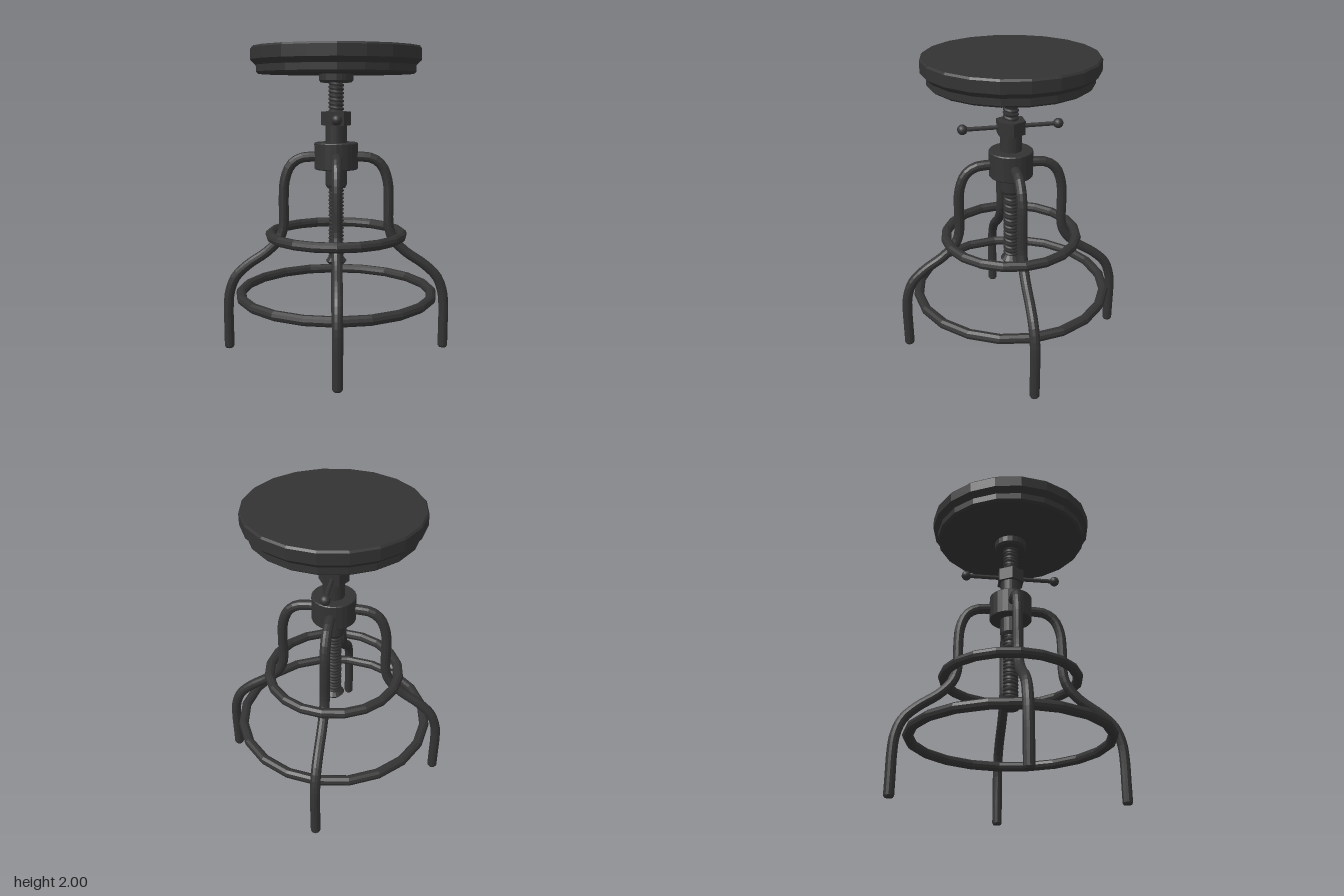
import * as THREE from 'three';

const metal = new THREE.MeshStandardMaterial({ color: 0x333333, flatShading: true });
const smoothMetal = new THREE.MeshStandardMaterial({ color: 0x333333 });

function add(parent, name, geometry, material = metal) {
  const mesh = new THREE.Mesh(geometry, material);
  mesh.name = name;
  parent.add(mesh);
  return mesh;
}

// Turned part from [radius, height] pairs listed bottom to top
function turned(profile, sides = 20) {
  return new THREE.LatheGeometry(profile.map(([r, y]) => new THREE.Vector2(r, y)), sides);
}

// Thread running around the central spindle
class Helix extends THREE.Curve {
  constructor(radius, bottom, top, turns) {
    super();
    Object.assign(this, { radius, bottom, top, turns });
  }
  getPoint(t, target = new THREE.Vector3()) {
    const a = t * this.turns * Math.PI * 2;
    return target.set(
      Math.cos(a) * this.radius,
      this.bottom + t * (this.top - this.bottom),
      Math.sin(a) * this.radius
    );
  }
}

export function createModel() {
  const stool = new THREE.Group();
  stool.name = 'stool';

  // Seat: wide disc over a slightly narrower base
  add(stool, 'seat', turned([
    [0, 1.83], [0.5, 1.83], [0.515, 1.843], [0.515, 1.885],
    [0.55, 1.918], [0.55, 1.988], [0.54, 2], [0, 2],
  ]));
  add(stool, 'seatFlange', turned([[0, 1.775], [0.098, 1.775], [0.11, 1.79], [0.11, 1.835], [0, 1.835]]));

  // Threaded spindle with an end stop
  const spindle = new THREE.Group();
  spindle.name = 'spindle';
  stool.add(spindle);
  add(spindle, 'spindleCore', turned([[0, 0.6], [0.042, 0.6], [0.042, 1.79], [0, 1.79]], 16), smoothMetal);
  add(spindle, 'spindleThread',
    new THREE.TubeGeometry(new Helix(0.041, 0.62, 1.785, 46), 46 * 14, 0.011, 5), smoothMetal);
  add(spindle, 'endStop', turned([[0, 0.583], [0.052, 0.583], [0.07, 0.605], [0.042, 0.638], [0, 0.638]], 16));

  // Hub, sleeve and locking nut
  add(stool, 'sleeve', turned([
    [0, 1.095], [0.06, 1.095], [0.07, 1.115], [0.07, 1.51], [0, 1.51],
  ], 24), metal);
  add(stool, 'hub', turned([
    [0, 1.217], [0.138, 1.217], [0.143, 1.223], [0.143, 1.385], [0.138, 1.391], [0, 1.391],
  ], 24));
  const nut = add(stool, 'lockingNut', new THREE.CylinderGeometry(0.097, 0.097, 0.088, 6));
  nut.position.y = 1.547;
  nut.rotation.y = Math.PI / 2;

  // Cross handle with a ball at each end
  const rod = add(stool, 'handleRod', new THREE.CylinderGeometry(0.014, 0.014, 0.6, 10), smoothMetal);
  rod.position.y = 1.547;
  rod.rotation.x = Math.PI / 2;
  for (const side of [-1, 1]) {
    const ball = add(stool, 'handleBall', new THREE.SphereGeometry(0.033, 14, 10), smoothMetal);
    ball.position.set(0, 1.547, side * 0.307);
  }

  // Four bent tube legs
  const legPath = new THREE.CatmullRomCurve3([
    [0.1, 1.298], [0.17, 1.298], [0.24, 1.287], [0.3, 1.24], [0.338, 1.14], [0.346, 1.02],
    [0.35, 0.83], [0.38, 0.75], [0.46, 0.665], [0.59, 0.575], [0.675, 0.49],
    [0.715, 0.385], [0.725, 0.27], [0.725, 0.14], [0.725, 0.012],
  ].map(([x, y]) => new THREE.Vector3(x, y, 0)));
  const legGeometry = new THREE.TubeGeometry(legPath, 40, 0.033, 12);
  const footGeometry = turned([[0, 0], [0.026, 0], [0.033, 0.012], [0.033, 0.03]], 12);
  for (let i = 0; i < 4; i++) {
    const leg = new THREE.Group();
    leg.name = 'leg';
    leg.rotation.y = i * Math.PI / 2;
    add(leg, 'legTube', legGeometry);
    add(leg, 'legFoot', footGeometry).position.x = 0.725;
    stool.add(leg);
  }

  // Bracing ring outside the legs and foot ring inside them
  for (const [name, radius, y] of [['upperRing', 0.437, 0.785], ['footRing', 0.638, 0.388]]) {
    const ring = add(stool, name, new THREE.TorusGeometry(radius, 0.033, 10, 20));
    ring.rotation.x = Math.PI / 2;
    ring.position.y = y;
  }

  return stool;
}
